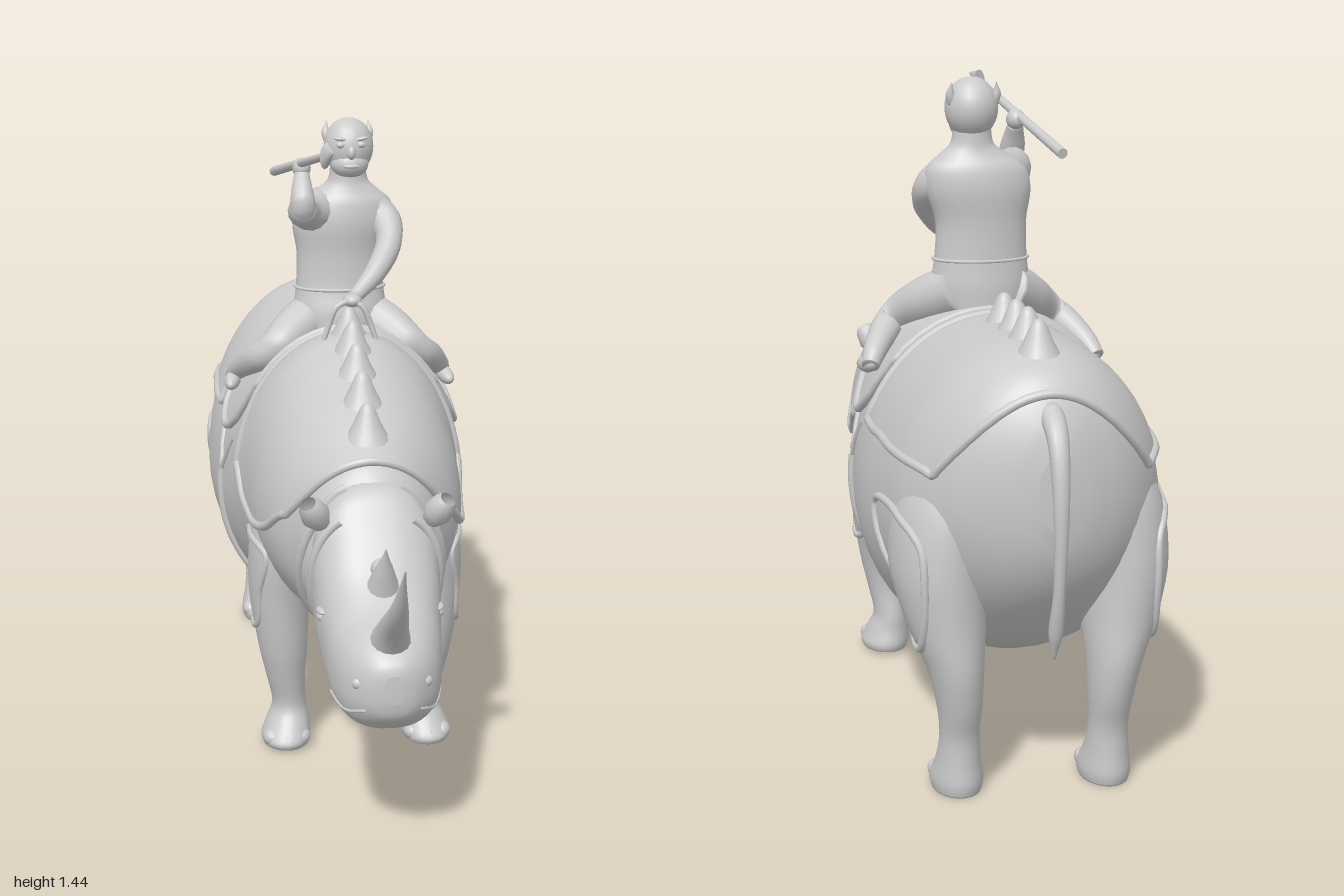
import * as THREE from 'three';

const V = (x, y, z) => new THREE.Vector3(x, y, z);
const mat = new THREE.MeshStandardMaterial({ color: 0xcccccc, roughness: 0.8 });
const matThin = new THREE.MeshStandardMaterial({ color: 0xcccccc, roughness: 0.8, side: THREE.DoubleSide });

// Smoothly resample a table of cross-section rows
function resample(rows, n) {
  const out = [];
  for (let i = 0; i <= n; i++) {
    const f = (i / n) * (rows.length - 1), k = Math.min(Math.floor(f), rows.length - 2), t = f - k;
    const at = j => rows[Math.max(0, Math.min(rows.length - 1, j))];
    out.push(rows[k].map((_, c) => {
      const [a, b, d, e] = [at(k - 1)[c], at(k)[c], at(k + 1)[c], at(k + 2)[c]];
      return b + 0.5 * t * (d - a + t * (2 * a - 5 * b + 4 * d - e + t * (3 * (b - d) + e - a)));
    }));
  }
  return out;
}

// Closed skin over rings of points, capped at both ends and wound outwards
function loft(rings) {
  const n = rings[0].length, m = rings.length, pts = rings.flat(), idx = [];
  for (let i = 0; i < m - 1; i++) for (let j = 0; j < n; j++) {
    const a = i * n + j, b = i * n + (j + 1) % n;
    idx.push(a, b, a + n, b, b + n, a + n);
  }
  [0, m - 1].forEach((r, e) => {
    const c = pts.length;
    pts.push(rings[r].reduce((s, p) => s.add(p), V(0, 0, 0)).divideScalar(n));
    for (let j = 0; j < n; j++) {
      const a = r * n + j, b = r * n + (j + 1) % n;
      idx.push(...(e ? [a, b, c] : [b, a, c]));
    }
  });
  let vol = 0;
  for (let i = 0; i < idx.length; i += 3) vol += pts[idx[i]].dot(pts[idx[i + 1]].clone().cross(pts[idx[i + 2]]));
  if (vol < 0) idx.reverse();
  const g = new THREE.BufferGeometry().setFromPoints(pts);
  g.setIndex(idx);
  g.computeVertexNormals();
  return g;
}

const circle = (n, f) => Array.from({ length: n }, (_, j) => f(Math.sin(j / n * 2 * Math.PI), Math.cos(j / n * 2 * Math.PI)));

// Sections along z: [z, bottom, top, halfWidth]; a power below 1 squares them off
const loftZ = (rows, n, power) => loft(resample(rows, n).map(([z, b, t, w]) => {
  const c = b + (t - b) * 0.46, q = v => Math.sign(v) * Math.abs(v) ** power;
  return circle(48, (s, k) => V(w * q(s), c + q(k) * (k > 0 ? t - c : c - b), z));
}));

// Sections along y: [y, x, z, radiusX, radiusZ]
const loftY = (rows, n, side = 1) => loft(resample(rows, n).map(([y, x, z, rx, rz]) =>
  circle(24, (s, k) => V(side * x + rx * s, y, z + rz * k))));

// Tapered tube through points
function limb(pts, radii, seg = 24, sides = 14) {
  const curve = new THREE.CatmullRomCurve3(pts.map(p => V(...p)));
  const fr = curve.computeFrenetFrames(seg, false), r = resample(radii.map(x => [x]), seg);
  return loft(r.map(([q], i) => {
    const p = curve.getPoint(i / seg);
    return circle(sides, (s, k) => p.clone().addScaledVector(fr.normals[i], q * s).addScaledVector(fr.binormals[i], q * k));
  }));
}

export function createModel() {
  const root = new THREE.Group();
  const beast = new THREE.Group(), rider = new THREE.Group();
  beast.name = 'rhinoceros';
  rider.name = 'rider';
  root.add(beast, rider);
  const add = (name, geo, parent = beast, m = mat) => {
    const mesh = new THREE.Mesh(geo, m);
    mesh.name = name;
    parent.add(mesh);
    return mesh;
  };
  const ball = (name, p, s, parent = beast, rot = [0, 0, 0]) => {
    const b = add(name, new THREE.SphereGeometry(1, 20, 14), parent);
    b.position.set(...p); b.scale.set(...s); b.rotation.set(...rot);
  };

  // Trunk and head
  const body = add('body', loftZ([
    [-.93, .61, .75, .03], [-.912, .53, .825, .095], [-.87, .45, .895, .17], [-.8, .37, .932, .232], [-.7, .29, .945, .28],
    [-.55, .23, .94, .305], [-.4, .205, .93, .312], [-.2, .215, .925, .295], [0, .26, .96, .258], [.1, .3, .937, .245],
    [.2, .33, .90, .234], [.3, .355, .86, .21], [.4, .365, .81, .17], [.47, .375, .77, .146], [.53, .4, .69, .1]], 84, 1));
  const head = add('head', loftZ([
    [.35, .4, .72, .12], [.5, .37, .745, .138], [.57, .335, .675, .137], [.64, .3, .59, .128], [.71, .288, .535, .12],
    [.77, .295, .51, .105], [.81, .315, .49, .082], [.84, .345, .465, .05], [.85, .38, .44, .02]], 44, .82));

  // Legs with toes
  const frontLeg = [[.68, .13, .1, .05, .09], [.58, .155, .105, .075, .125], [.5, .168, .12, .08, .13], [.38, .178, .125, .072, .105],
    [.25, .172, .14, .058, .072], [.17, .166, .138, .046, .056], [.1, .158, .128, .04, .053], [.06, .162, .138, .05, .064],
    [.025, .168, .148, .058, .08], [.008, .168, .148, .054, .075]];
  const rearLeg = [[.76, .12, -.68, .06, .1], [.64, .17, -.69, .1, .145], [.5, .192, -.70, .104, .15], [.38, .185, -.735, .085, .115],
    [.28, .17, -.765, .06, .085], [.2, .162, -.772, .048, .063], [.13, .16, -.765, .042, .048], [.07, .16, -.75, .047, .06],
    [.025, .16, -.73, .056, .082], [0, .16, -.73, .052, .077]];
  const solids = [body, head];
  for (const s of [1, -1]) {
    for (const [name, rows, x, z] of [['frontLeg', frontLeg, .168, .195], ['rearLeg', rearLeg, .16, -.685]]) {
      solids.push(add(name, loftY(rows, 36, s)));
      for (const d of [-1, 0, 1]) ball('toe', [s * x + d * .034, .028, z - Math.abs(d) * .016], [.022, .021, .028]);
    }
  }

  // Points on the hide: by angle around the trunk, or straight in from the side
  const ray = new THREE.Raycaster();
  const onTrunk = (z, a, lift) => {
    const d = V(Math.sin(a), Math.cos(a), 0), c = V(0, .56, z);
    ray.set(c.clone().addScaledVector(d, 2), d.clone().negate());
    const h = ray.intersectObject(body)[0];
    return (h ? h.point : c).clone().addScaledVector(d, lift);
  };
  const ridge = (name, zy, r, closed = false) => {
    const c = new THREE.CatmullRomCurve3(zy.map(([z, y]) => V(0, y, z)), closed);
    for (const s of [1, -1]) {
      const pts = c.getPoints(40).slice(0, closed ? 40 : 41).map(p => {
        ray.set(V(2 * s, p.y, p.z), V(-s, 0, 0));
        return ray.intersectObjects(solids)[0]?.point;
      }).filter(Boolean);
      add(name, new THREE.TubeGeometry(new THREE.CatmullRomCurve3(pts, closed), 90, r, 8, closed));
    }
  };

  // Armour plates draped over the back with a raised rim; the bows push each end outwards along the spine
  const plate = (name, z0, z1, lowDegrees, lift, bow0, bow1) => {
    const N = 32, low = resample(lowDegrees.map(d => [d * Math.PI / 180]), N), grid = [];
    for (let i = 0; i <= N; i++) for (let j = 0; j <= N; j++) {
      const u = 2 * j / N - 1, t = i / N, z = z0 + (z1 - z0) * t + (1 - u * u) * (bow1 * t - bow0 * (1 - t));
      grid.push(onTrunk(z, low[i][0] * u, lift));
    }
    const g = new THREE.PlaneGeometry(1, 1, N, N);
    grid.forEach((p, k) => g.attributes.position.setXYZ(k, p.x, p.y, p.z));
    g.computeVertexNormals();
    add(name, g, beast, matThin);
    const edge = [], at = (i, j) => grid[i * (N + 1) + j];
    for (let k = 0; k < N; k++) edge.push(at(0, k));
    for (let k = 0; k < N; k++) edge.push(at(k, N));
    for (let k = N; k > 0; k--) edge.push(at(N, k));
    for (let k = N; k > 0; k--) edge.push(at(k, 0));
    add(name + 'Rim', new THREE.TubeGeometry(new THREE.CatmullRomCurve3(edge, true), 260, .01, 8, true));
  };
  plate('shoulderPlate', -.03, .37, [72, 84, 88, 88, 82, 66], .006, .015, .09);
  plate('rumpPlate', -.81, -.36, [58, 60, 61, 61, 62, 62], .006, .08, .01);
  plate('saddleBlanket', -.325, -.065, [38, 56, 63, 63, 56, 38], .012, 0, 0);

  // Hide folds and shields on the limbs
  ridge('neckFold', [[.49, .735], [.46, .6], [.42, .5], [.37, .41]], .012);
  ridge('throatFold', [[.55, .68], [.54, .6], [.52, .52], [.48, .43], [.43, .39]], .011);
  ridge('foreShield', [[.22, .5], [.03, .5], [.04, .4], [.09, .31], [.17, .31], [.2, .4]], .008, true);
  ridge('thighShield', [[-.57, .59], [-.8, .57], [-.83, .47], [-.79, .33], [-.69, .34], [-.61, .47]], .009, true);
  ridge('mouth', [[.83, .36], [.78, .345], [.71, .36]], .004);

  // Girth strap
  for (const dz of [-.13, -.25]) ridge('girthFork', [[dz, .68], [-.19, .585]], .008);
  const belly = Array.from({ length: 41 }, (_, i) => onTrunk(-.19, Math.PI * (.47 + 1.06 * i / 40), .002));
  add('girth', new THREE.TubeGeometry(new THREE.CatmullRomCurve3(belly), 100, .01, 8));

  // Horns, tail, ears, eyes, nostrils
  add('noseHorn', limb([[0, .45, .74], [0, .53, .82], [0, .61, .915], [0, .72, 1]], [.052, .034, .019, .002]));
  add('browHorn', limb([[0, .53, .635], [0, .6, .67], [0, .665, .705]], [.045, .024, .002]));
  ball('browKnob', [0, .6, .635], [.024, .022, .024]);
  add('tail', limb([[0, .84, -.88], [0, .8, -.945], [0, .69, -.98], [0, .5, -.972], [0, .4, -.945], [0, .34, -.93]], [.026, .022, .017, .012, .015, .004]));
  for (const s of [1, -1]) {
    const cup = new THREE.LatheGeometry([[.005, -.045], [.02, -.03], [.032, 0], [.026, .03], [.018, .042]].map(p => new THREE.Vector2(...p)), 18);
    const ear = add('ear', cup, beast, matThin);
    ear.position.set(s * .132, .695, .55); ear.rotation.set(.55, 0, -s * .45);
    ball('eye', [s * .125, .49, .61], [.012, .012, .016]);
    ball('eyelid', [s * .124, .503, .61], [.013, .008, .025]);
    ball('nostril', [s * .07, .415, .812], [.014, .013, .012]);
  }

  // Row of rounded knobs along the spine
  const knob = new THREE.LatheGeometry([[.056, -.03], [.044, -.006], [.031, .018], [.021, .042], [.014, .056], [.007, .063], [0, .065]].map(p => new THREE.Vector2(...p)), 18);
  for (const z of [.37, .27, .17, .08, 0, -.455, -.575, -.68, -.775]) {
    add('spineKnob', knob).position.copy(onTrunk(z, 0, .002));
  }

  // Rider: trunk, neck and head
  add('torso', loftY([[.89, 0, -.2, .09, .075], [.97, 0, -.2, .112, .076], [1.04, 0, -.205, .106, .066], [1.12, 0, -.207, .104, .064],
    [1.19, .006, -.207, .12, .069], [1.24, .012, -.207, .112, .063], [1.27, .018, -.205, .075, .05], [1.295, .02, -.205, .048, .044], [1.34, .02, -.205, .042, .042]], 40), rider);
  add('belt', new THREE.TorusGeometry(.066, .004, 8, 40).rotateX(Math.PI / 2).scale(1.6, 1, 1).translate(0, 1.035, -.204), rider);
  ball('riderHead', [.022, 1.372, -.207], [.06, .069, .064], rider);
  ball('jaw', [.022, 1.335, -.185], [.046, .036, .044], rider);
  ball('nose', [.022, 1.365, -.142], [.01, .016, .013], rider);
  ball('lips', [.022, 1.333, -.143], [.02, .005, .006], rider);
  for (const s of [1, -1]) {
    ball('riderEye', [.022 + s * .024, 1.383, -.152], [.011, .008, .008], rider);
    ball('eyebrow', [.022 + s * .025, 1.397, -.154], [.016, .005, .008], rider, [0, 0, s * .15]);
    add('pointedEar', limb([[.022 + s * .046, 1.385, -.225], [.022 + s * .052, 1.405, -.23], [.022 + s * .05, 1.43, -.238]], [.012, .01, .001], 12, 10), rider);
    // Bent legs astride
    add('riderLeg', limb([[s * .05, .97, -.22], [s * .115, .935, -.165], [s * .175, .895, -.115], [s * .215, .865, -.165], [s * .25, .825, -.23], [s * .26, .805, -.25]],
      [.06, .055, .04, .034, .025, .02], 36), rider);
    ball('riderFoot', [s * .262, .803, -.215], [.019, .02, .046], rider, [.15, s * .2, 0]);
  }

  // Left arm to the reins, right arm raised
  add('leftArm', limb([[.06, 1.225, -.205], [.102, 1.2, -.185], [.11, 1.155, -.13], [.07, 1.095, -.06], [.012, 1.045, -.005]], [.05, .042, .032, .026, .017], 30), rider);
  ball('leftHand', [.008, 1.042, .003], [.022, .016, .024], rider);
  add('rightArm', limb([[-.05, 1.22, -.2], [-.09, 1.23, -.14], [-.098, 1.245, -.075], [-.1, 1.28, -.09], [-.098, 1.325, -.12]], [.055, .042, .031, .027, .018], 30), rider);
  ball('rightHand', [-.098, 1.335, -.125], [.022, .024, .026], rider);
  for (const s of [1, -1]) {
    add('rein', limb([[.005, 1.045, .01], [s * .03, 1.03, .02], [s * .05, .985, .02], [s * .065, .94, .025]], [.007, .007, .007, .005], 20, 8), rider);
  }

  // Spear
  const butt = V(-.142, 1.287, -.39), tip = V(-.055, 1.415, .195);
  const spear = new THREE.Group();
  spear.name = 'spear';
  spear.position.copy(butt);
  const len = tip.distanceTo(butt);
  spear.quaternion.setFromUnitVectors(V(0, 1, 0), tip.clone().sub(butt).normalize());
  rider.add(spear);
  add('shaft', new THREE.CylinderGeometry(.009, .012, len - .05, 12).translate(0, (len - .05) / 2, 0), spear);
  add('spearhead', new THREE.ConeGeometry(.03, .075, 12).scale(.45, 1, 1).translate(0, len - .0375, 0), spear);
  return root;
}
